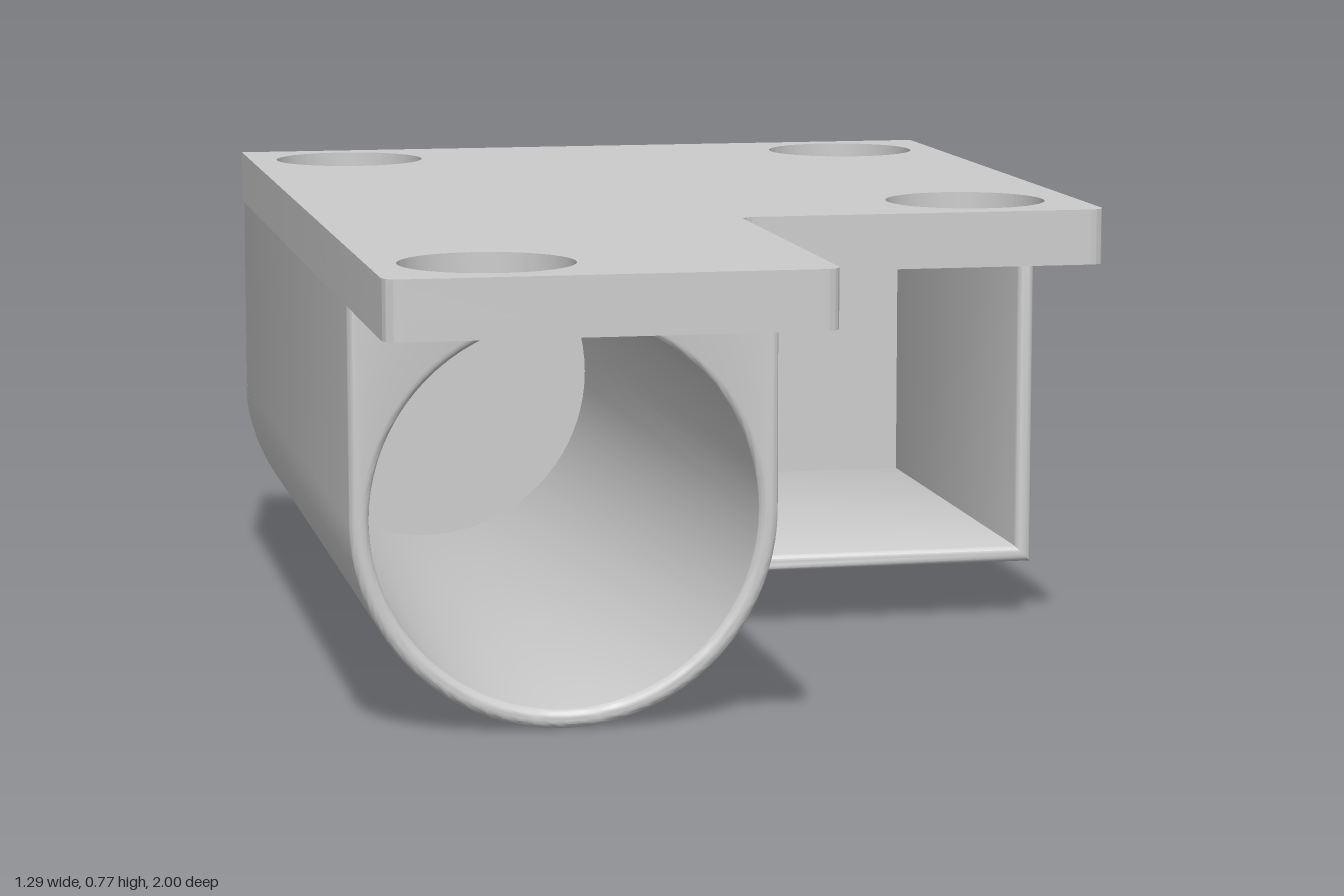
import * as THREE from 'three';
import { toCreasedNormals } from 'three/addons/utils/BufferGeometryUtils.js';

const material = new THREE.MeshStandardMaterial({ color: 0xcccccc });
const W = 0.645;              // half width
const CX = -0.307, CY = 0.338; // tube axis
const R = 0.338, BORE = 0.307; // tube radii
const PLATE_Y = 0.675, TOP = 0.766, POCKET = 0.06;
const BEVEL = 0.013;

function part(name, shape, z0, z1, bevel = 0) {
  const geo = new THREE.ExtrudeGeometry(shape, {
    depth: z1 - z0 - 2 * bevel, curveSegments: 40,
    bevelEnabled: bevel > 0, bevelThickness: bevel, bevelSize: bevel,
    bevelOffset: -bevel, bevelSegments: 4,
  });
  geo.translate(0, 0, z0 + bevel);
  const mesh = new THREE.Mesh(toCreasedNormals(geo, 0.6), material);
  mesh.name = name;
  return mesh;
}

// Closed outline from [x, y, radius] corners
function roundedOutline(corners) {
  const shape = new THREE.Shape();
  const n = corners.length;
  corners.forEach(([x, y, r], i) => {
    const p = new THREE.Vector2(x, y);
    const toward = ([a, b]) => new THREE.Vector2(a, b).sub(p).setLength(r).add(p);
    const a = toward(corners[(i + n - 1) % n]);
    const b = toward(corners[(i + 1) % n]);
    if (i === 0) shape.moveTo(a.x, a.y); else shape.lineTo(a.x, a.y);
    if (r > 0) shape.quadraticCurveTo(x, y, b.x, b.y);
  });
  shape.closePath();
  return shape;
}

// L-shaped plan of the mounting plate (shape y is -z)
function plateOutline() {
  return roundedOutline([
    [-W, 1, 0], [-W, -1, 0.03], [0.03, -1, 0.03],
    [0.03, -0.29, 0.03], [W, -0.29, 0.03], [W, 1, 0],
  ]);
}

export function createModel() {
  const group = new THREE.Group();
  group.name = 'holderBracket';

  // Mounting plate: solid lower layer, upper layer with four round pockets
  const plate = new THREE.Group();
  plate.name = 'mountingPlate';
  plate.rotation.x = -Math.PI / 2;
  const upper = plateOutline();
  for (const [x, z] of [[-0.465, -0.825], [0.463, -0.825], [0.455, 0.105], [-0.467, 0.82]]) {
    const hole = new THREE.Path();
    hole.absarc(x, -z, 0.133, 0, Math.PI * 2, true);
    upper.holes.push(hole);
  }
  plate.add(
    part('plateBase', plateOutline(), PLATE_Y, TOP - POCKET),
    part('platePockets', upper, TOP - POCKET, TOP),
  );
  group.add(plate);

  // U-shaped tube with round bore and softened rim
  const sleeve = new THREE.Shape();
  sleeve.moveTo(CX + R, PLATE_Y + 0.015);
  sleeve.lineTo(CX - R, PLATE_Y + 0.015);
  sleeve.lineTo(CX - R, CY);
  sleeve.absarc(CX, CY, R, Math.PI, Math.PI * 2, false);
  sleeve.closePath();
  const bore = new THREE.Path();
  bore.absarc(CX, CY, BORE, 0, Math.PI * 2, true);
  sleeve.holes.push(bore);
  group.add(part('tubeSleeve', sleeve, -0.985, 0.58, BEVEL));

  // Floor and side wall of the open box, joined to the sleeve
  const mid = (R + BORE) / 2;
  const end = Math.asin((0.1 - CY) / mid);
  const walls = new THREE.Shape();
  walls.moveTo(CX + mid * Math.cos(end), 0.1);
  walls.lineTo(W, 0.1);
  walls.lineTo(W, PLATE_Y + 0.015);
  walls.lineTo(W - 0.031, PLATE_Y + 0.015);
  walls.lineTo(W - 0.031, 0.13);
  walls.lineTo(0.031, 0.13);
  walls.lineTo(0.031, CY);
  walls.lineTo(CX + mid, CY);
  walls.absarc(CX, CY, mid, 0, end, true);
  group.add(part('boxWalls', walls, -0.985, -0.125, BEVEL));

  // Back wall closing both the tube and the box
  const back = new THREE.Shape();
  back.moveTo(-W, PLATE_Y);
  back.lineTo(-W, CY);
  back.absarc(CX, CY, R, Math.PI, Math.PI * 2 + Math.asin((0.1 - CY) / R), false);
  back.lineTo(W, 0.1);
  back.lineTo(W, PLATE_Y);
  back.closePath();
  group.add(part('backWall', back, -1, -0.97));

  return group;
}
